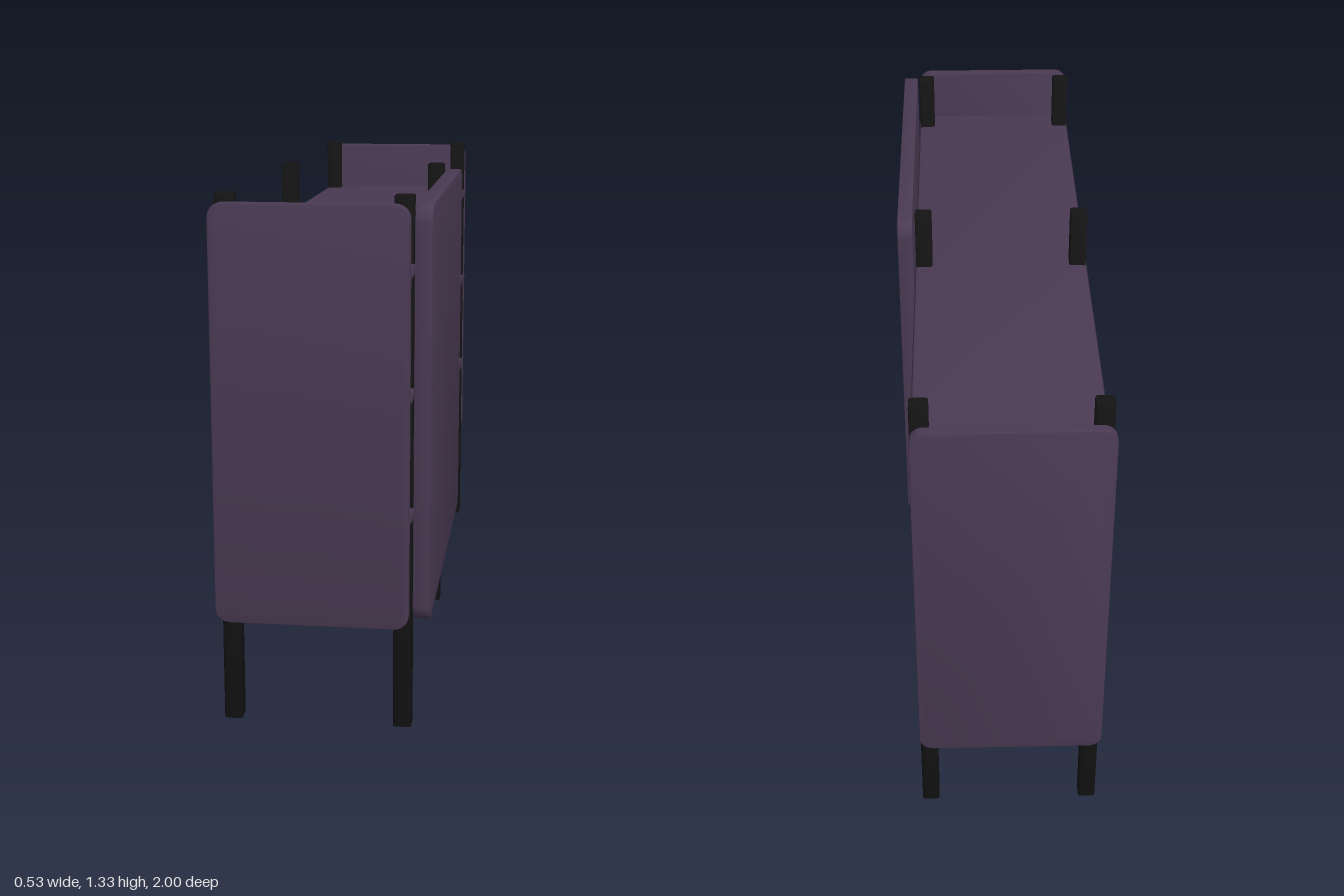
import * as THREE from 'three';
import { toCreasedNormals } from 'three/addons/utils/BufferGeometryUtils.js';

const plum = new THREE.MeshStandardMaterial({ color: 0x4a3a53 });
const black = new THREE.MeshStandardMaterial({ color: 0x141414 });

// Centred slab in the XY plane with rounded corners and softened rims
function slab(w, h, t, radius, bevel) {
  const x = w / 2 - bevel, y = h / 2 - bevel, r = radius - bevel;
  const shape = new THREE.Shape();
  shape.moveTo(-x + r, -y);
  shape.lineTo(x - r, -y);
  shape.absarc(x - r, -y + r, r, -Math.PI / 2, 0);
  shape.absarc(x - r, y - r, r, 0, Math.PI / 2);
  shape.absarc(-x + r, y - r, r, Math.PI / 2, Math.PI);
  shape.absarc(-x + r, -y + r, r, Math.PI, Math.PI * 1.5);
  const geo = new THREE.ExtrudeGeometry(shape, {
    depth: t - 2 * bevel, bevelEnabled: true, bevelThickness: bevel,
    bevelSize: bevel, bevelSegments: 2, curveSegments: 8,
  });
  geo.translate(0, 0, -(t - 2 * bevel) / 2);
  return toCreasedNormals(geo, 0.6);
}

export function createModel() {
  const group = new THREE.Group();
  const add = (name, geo, mat, x, y, z) => {
    const mesh = new THREE.Mesh(geo, mat);
    mesh.name = name;
    mesh.position.set(x, y, z);
    group.add(mesh);
  };

  // Six square posts standing through the shelves
  const post = slab(0.046, 0.046, 1.33, 0.007, 0.003).rotateX(Math.PI / 2);
  for (const x of [-0.239, 0.19])
    for (const z of [-0.9, 0, 0.9]) add('post', post, black, x, 0.665, z);

  // Three long shelves
  const shelf = slab(0.482, 1.936, 0.036, 0.014, 0.012).rotateX(Math.PI / 2);
  for (const y of [0.558, 0.856, 1.154]) add('shelf', shelf, plum, -0.025, y, 0);

  // Rounded panels closing both ends
  const endPanel = slab(0.475, 1.028, 0.028, 0.036, 0.004);
  for (const s of [-1, 1]) add('endPanel', endPanel, plum, -0.025, 0.802, s * 0.986);

  // Sliding door covering half of one long side
  const door = slab(1.012, 1.016, 0.042, 0.045, 0.004).rotateY(Math.PI / 2);
  add('slidingDoor', door, plum, 0.241, 0.806, 0.469);

  return group;
}
